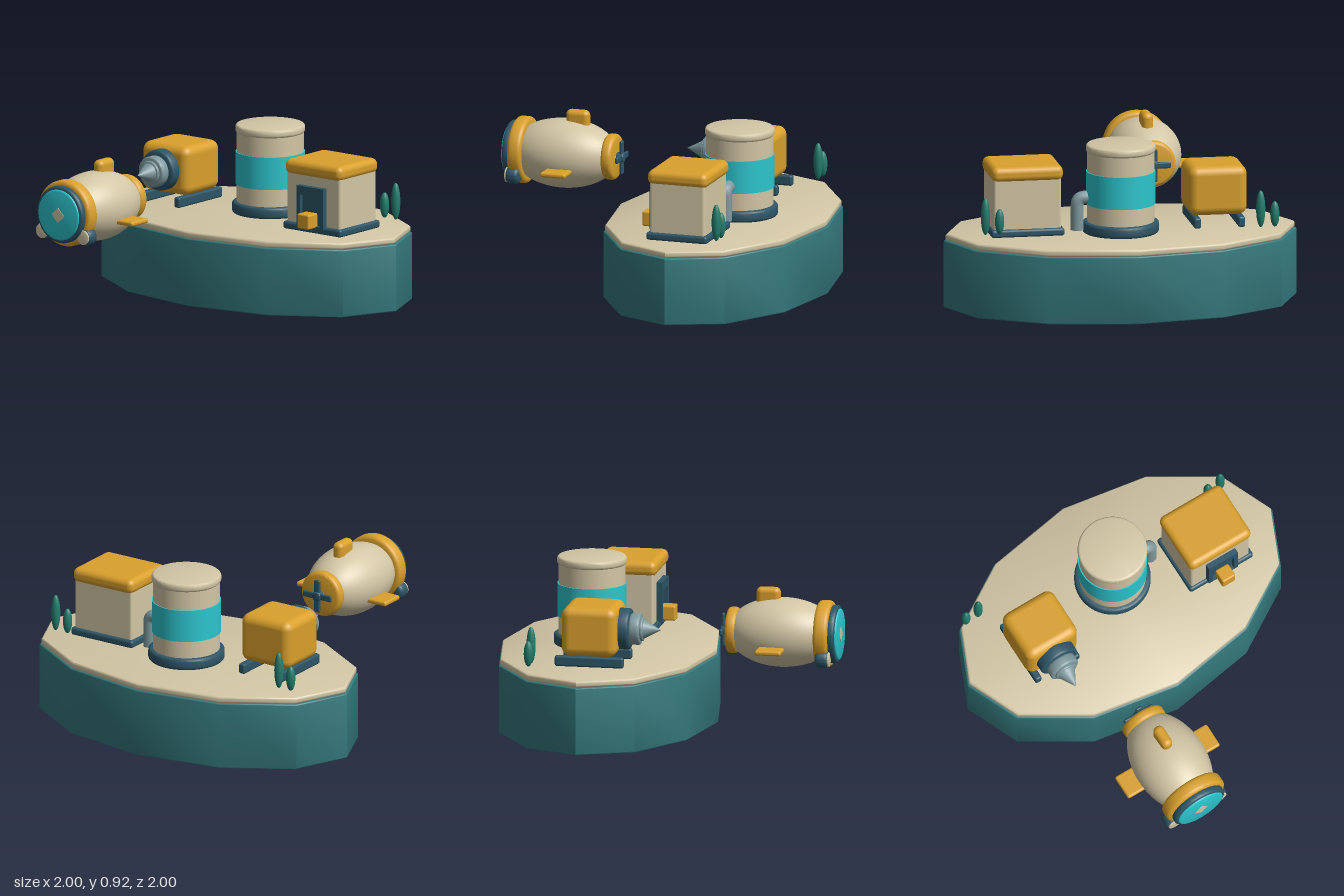
import * as THREE from 'three';
import { toCreasedNormals } from 'three/addons/utils/BufferGeometryUtils.js';
import { RoundedBoxGeometry } from 'three/addons/geometries/RoundedBoxGeometry.js';

const paint = (name, color) => {
  const m = new THREE.MeshStandardMaterial({ color });
  m.name = name;
  return m;
};

export function createModel() {
  const teal = paint('teal', 0x35797d);
  const sand = paint('sand', 0xd2c6a5);
  const gold = paint('gold', 0xd9a02c);
  const navy = paint('dark blue', 0x2d5566);
  const steel = paint('steel', 0x7f999e);
  const cyan = paint('cyan glass', 0x2cc5cd);
  const green = paint('kelp green', 0x237c6d);

  const model = new THREE.Group();
  model.name = 'underwaterStation';

  const group = (name, x, y, z) => {
    const g = new THREE.Group();
    g.name = name;
    g.position.set(x, y, z);
    model.add(g);
    return g;
  };
  const add = (parent, name, geometry, material, x = 0, y = 0, z = 0) => {
    const mesh = new THREE.Mesh(geometry, material);
    mesh.name = name;
    mesh.position.set(x, y, z);
    parent.add(mesh);
    return mesh;
  };
  const box = (w, h, d, r = 0.01) => new RoundedBoxGeometry(w, h, d, 3, r);

  // Upright disc with rounded rims, from y = 0 to y = h
  const disc = (r, h, bevel = 0.01, sides = 48, depth = r) => {
    const p = [new THREE.Vector2(0, 0)];
    for (const [cy, start] of [[bevel, -Math.PI / 2], [h - bevel, 0]]) {
      for (let i = 0; i <= 3; i++) {
        const a = start + (i * Math.PI) / 6;
        p.push(new THREE.Vector2(r - bevel + bevel * Math.cos(a), cy + bevel * Math.sin(a)));
      }
    }
    p.push(new THREE.Vector2(0, h));
    const g = new THREE.LatheGeometry(p, sides);
    g.scale(1, 1, depth / r);
    return toCreasedNormals(g, 0.7);
  };
  // The same disc lying along z, from z = 0 to z = h
  const discZ = (r, h, bevel) => disc(r, h, bevel).rotateX(Math.PI / 2);

  // Twelve-sided island
  const island = group('island', 0, 0, -0.382);
  add(island, 'islandBase', disc(1, 0.385, 0.008, 12, 0.617), teal);
  add(island, 'islandTop', disc(0.99, 0.038, 0.012, 12, 0.609), sand, 0, 0.384, 0);

  // Storage tank with a glass band and an elbow pipe
  const tank = group('tank', 0.014, 0.42, -0.485);
  add(tank, 'tankFoot', disc(0.214, 0.065, 0.015), navy);
  add(tank, 'tankBody', new THREE.CylinderGeometry(0.188, 0.188, 0.42, 48), sand, 0, 0.25, 0);
  add(tank, 'tankBand', new THREE.CylinderGeometry(0.194, 0.194, 0.185, 48), cyan, 0, 0.257, 0);
  add(tank, 'tankLid', disc(0.195, 0.047, 0.015), sand, 0, 0.457, 0);
  const elbow = new THREE.CurvePath();
  const v = (x, y) => new THREE.Vector3(x, y, 0);
  elbow.add(new THREE.LineCurve3(v(0.16, 0.204), v(0.205, 0.204)));
  elbow.add(new THREE.QuadraticBezierCurve3(v(0.205, 0.204), v(0.247, 0.204), v(0.247, 0.16)));
  elbow.add(new THREE.LineCurve3(v(0.247, 0.16), v(0.247, 0.02)));
  add(tank, 'tankPipe', new THREE.TubeGeometry(elbow, 32, 0.037, 16), steel);
  add(tank, 'pipeEnd', new THREE.CircleGeometry(0.037, 16).rotateX(Math.PI / 2), steel, 0.247, 0.02, 0);

  // House with a rounded roof, framed door and a crate
  const house = group('house', 0.549, 0, -0.365);
  add(house, 'houseFoot', box(0.415, 0.045, 0.36, 0.015), navy, 0, 0.442, 0);
  add(house, 'houseWalls', box(0.385, 0.33, 0.325, 0.015), sand, 0, 0.605, 0);
  add(house, 'roof', box(0.405, 0.085, 0.355, 0.035), gold, 0, 0.777, 0);
  const frame = new THREE.Shape();
  frame.moveTo(-0.095, 0).lineTo(0.095, 0).lineTo(0.095, 0.23).lineTo(-0.095, 0.23);
  const opening = new THREE.Path();
  opening.moveTo(-0.07, 0.01).lineTo(-0.07, 0.18).lineTo(0.07, 0.18).lineTo(0.07, 0.01);
  frame.holes.push(opening);
  add(house, 'doorFrame', new THREE.ExtrudeGeometry(frame, { depth: 0.04, bevelEnabled: false }),
    navy, 0, 0.455, 0.155);
  add(house, 'door', new THREE.BoxGeometry(0.15, 0.18, 0.02), navy, 0, 0.55, 0.16);
  add(house, 'crate', box(0.085, 0.085, 0.085), gold, 0, 0.498, 0.215);

  // Drilling machine on two skids
  const digger = group('drillMachine', -0.535, 0.635, -0.37);
  add(digger, 'drillCabin', box(0.333, 0.28, 0.315, 0.05), gold);
  for (const side of [-1, 1]) {
    add(digger, 'skid', box(0.04, 0.06, 0.39, 0.012), navy, side * 0.125, -0.17, 0);
  }
  add(digger, 'drillCollar', discZ(0.116, 0.08, 0.015), navy, 0, 0, 0.135);
  add(digger, 'drillSleeve', discZ(0.088, 0.06, 0.01), steel, 0, 0, 0.212);
  add(digger, 'drillNeck', discZ(0.066, 0.02, 0.006), steel, 0, 0, 0.267);
  add(digger, 'drillTip', new THREE.ConeGeometry(0.057, 0.105, 32).rotateX(Math.PI / 2), steel, 0, 0, 0.333);

  // Submarine facing the front
  const sub = group('submarine', -0.318, 0.605, 0);
  const hull = new THREE.SphereGeometry(1, 48, 32).rotateX(Math.PI / 2).scale(0.207, 0.195, 0.315);
  add(sub, 'hull', hull, sand, 0, 0, 0.665);
  add(sub, 'noseRing', discZ(0.188, 0.082, 0.022), gold, 0, 0, 0.867);
  add(sub, 'windowRim', discZ(0.163, 0.045, 0.014), navy, 0, 0, 0.94);
  add(sub, 'window', discZ(0.144, 0.025, 0.008), cyan, 0, 0, 0.969);
  add(sub, 'windowGlint', new THREE.CylinderGeometry(0.043, 0.043, 0.004, 4).rotateX(Math.PI / 2), sand, 0, 0, 0.996);
  add(sub, 'tailRing', discZ(0.13, 0.062, 0.02), gold, 0, 0, 0.354);
  add(sub, 'topFin', box(0.065, 0.12, 0.137, 0.03), gold, 0, 0.195, 0.585);
  for (const side of [-1, 1]) {
    add(sub, 'sideFin', box(0.16, 0.028, 0.148, 0.012), gold, side * 0.222, -0.062, 0.635);
    add(sub, 'lampHousing', discZ(0.049, 0.075, 0.02), navy, side * 0.147, -0.115, 0.88);
    add(sub, 'lampLens', discZ(0.042, 0.01, 0.004), sand, side * 0.147, -0.115, 0.95);
  }

  // Four-bladed propeller
  add(sub, 'propellerShaft', discZ(0.028, 0.055, 0.008), navy, 0, 0, 0.312);
  add(sub, 'propellerBlades', box(0.19, 0.036, 0.018, 0.008), navy, 0, 0, 0.328);
  add(sub, 'propellerBlades', box(0.036, 0.19, 0.018, 0.008), navy, 0, 0, 0.328);

  // Kelp in pairs, one short and one tall
  const kelp = [[-0.825, -0.685, 0.145], [-0.745, -0.685, 0.21], [0.725, -0.62, 0.145], [0.805, -0.62, 0.21]];
  for (const [x, z, h] of kelp) {
    const leaf = new THREE.SphereGeometry(1, 20, 16).scale(0.026, h / 2, 0.026);
    add(model, 'kelp', leaf, green, x, 0.46 + h / 2, z);
  }

  return model;
}
